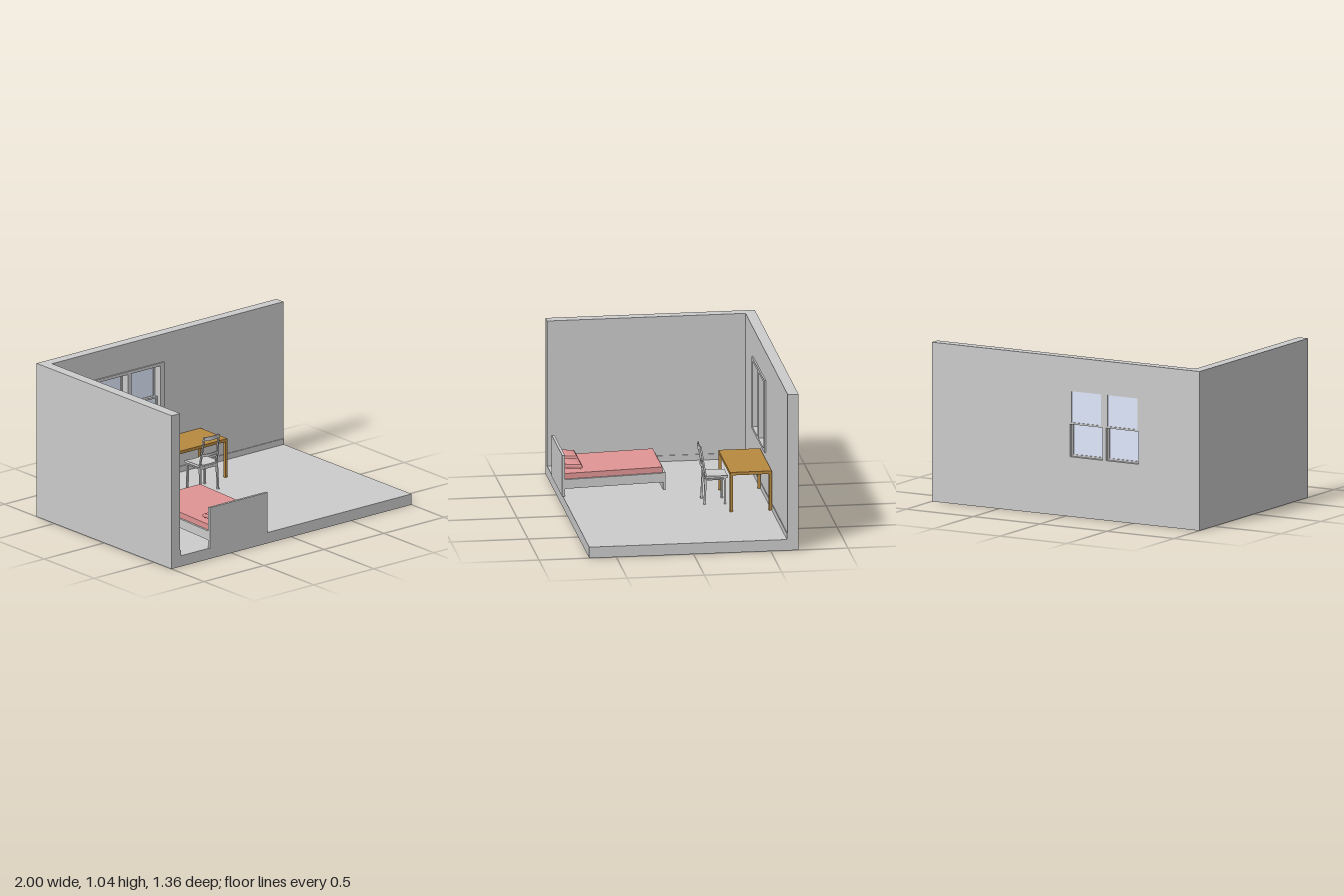
import * as THREE from 'three';

const mat = (color) => new THREE.MeshStandardMaterial({ color });
const GREY = mat(0xcccccc), PINK = mat(0xe09494), WOOD = mat(0xb8893f), GLASS = mat(0xdfe7fb);

function add(parent, name, geometry, material = GREY) {
  const mesh = new THREE.Mesh(geometry, material);
  mesh.name = name;
  parent.add(mesh);
  return mesh;
}

// Box given by its extents on each axis
function box(parent, name, [x0, x1], [y0, y1], [z0, z1], material) {
  const mesh = add(parent, name, new THREE.BoxGeometry(x1 - x0, y1 - y0, z1 - z0), material);
  mesh.position.set((x0 + x1) / 2, (y0 + y1) / 2, (z0 + z1) / 2);
  return mesh;
}

// Square bar between two points
function bar(parent, name, a, b, w, d) {
  const p = new THREE.Vector3(...a), q = new THREE.Vector3(...b);
  const mesh = add(parent, name, new THREE.BoxGeometry(w, p.distanceTo(q), d));
  mesh.position.copy(p).lerp(q, 0.5);
  mesh.quaternion.setFromUnitVectors(new THREE.Vector3(0, 1, 0), q.sub(p).normalize());
  return mesh;
}

function rect(target, x0, x1, y0, y1) {
  target.moveTo(x0, y0);
  target.lineTo(x1, y0);
  target.lineTo(x1, y1);
  target.lineTo(x0, y1);
  target.closePath();
  return target;
}

// Upright panel with rectangular openings
function panel(parent, name, outer, holes, z0, z1) {
  const shape = rect(new THREE.Shape(), ...outer);
  for (const h of holes) shape.holes.push(rect(new THREE.Path(), ...h));
  const mesh = add(parent, name, new THREE.ExtrudeGeometry(shape, { depth: z1 - z0, bevelEnabled: false }));
  mesh.position.z = z0;
  return mesh;
}

function group(parent, name) {
  const g = new THREE.Group();
  g.name = name;
  parent.add(g);
  return g;
}

const FLOOR = 0.073;
const OPENINGS = [[-0.545, -0.302, 0.39, 0.83], [-0.275, -0.032, 0.39, 0.83]];

function buildRoom(root) {
  const g = group(root, 'room');
  box(g, 'floor', [-1, 1], [0, FLOOR], [-0.68, 0.675]);
  box(g, 'sideWall', [-1, -0.928], [FLOOR, 1.038], [-0.68, 0.675]);
  panel(g, 'backWall', [-0.928, 1, FLOOR, 1.038], OPENINGS, -0.68, -0.61);
  box(g, 'backBaseboard', [-0.928, 1], [FLOOR, 0.112], [-0.61, -0.605]);
  box(g, 'sideBaseboard', [-0.928, -0.923], [FLOOR, 0.112], [-0.605, 0.675]);
}

function buildWindow(root) {
  const g = group(root, 'window');
  panel(g, 'windowTrim', [-0.58, 0, 0.37, 0.85], OPENINGS, -0.61, -0.6);
  for (const [x0, x1, y0, y1] of OPENINGS) {
    // Upper sash sits outside, lower sash inside
    for (const [name, a, b, z] of [['upperSash', 0.602, y1, -0.67], ['lowerSash', y0, 0.618, -0.645]]) {
      const pane = [x0 + 0.01, x1 - 0.01, a + 0.012, b - 0.012];
      panel(g, name, [x0, x1, a, b], [pane], z - 0.01, z + 0.012);
      box(g, name + 'Glass', [pane[0], pane[1]], [pane[2], pane[3]], [z - 0.004, z + 0.004], GLASS);
    }
  }
}

function buildDesk(root) {
  const g = group(root, 'desk');
  box(g, 'deskTop', [-0.23, 0.305], [0.315, 0.335], [-0.605, -0.335], WOOD);
  for (const x of [-0.23, 0.287])
    for (const z of [-0.605, -0.353])
      box(g, 'deskLeg', [x, x + 0.018], [FLOOR, 0.315], [z, z + 0.018], WOOD);
}

// Back slat, bowed backwards between the posts
function slat(parent, name, half, y, height, z) {
  const shape = new THREE.Shape();
  shape.moveTo(-half, 0);
  shape.quadraticCurveTo(0, -0.026, half, 0);
  shape.lineTo(half, 0.008);
  shape.quadraticCurveTo(0, -0.018, -half, 0.008);
  const geo = new THREE.ExtrudeGeometry(shape, { depth: height, bevelEnabled: false, curveSegments: 10 });
  const mesh = add(parent, name, geo.rotateX(-Math.PI / 2));
  mesh.position.set(0, y, z);
}

function buildChair(root) {
  const g = group(root, 'chair');
  g.position.x = 0.038;
  // Seat dips gently across its width
  const seat = new THREE.BoxGeometry(0.16, 0.014, 0.145, 12, 1, 1);
  const p = seat.attributes.position;
  for (let i = 0; i < p.count; i++) {
    const t = p.getX(i) / 0.08;
    if (p.getY(i) > 0) p.setY(i, 0.001 + 0.007 * t * t);
  }
  seat.computeVertexNormals();
  add(g, 'seat', seat).position.set(0, 0.254, -0.277);
  box(g, 'frontApron', [-0.07, 0.07], [0.228, 0.247], [-0.336, -0.328]);
  box(g, 'rearApron', [-0.07, 0.07], [0.228, 0.247], [-0.21, -0.202]);
  for (const s of [-1, 1]) {
    bar(g, 'frontLeg', [s * 0.072, FLOOR, -0.33], [s * 0.07, 0.248, -0.33], 0.013, 0.013);
    bar(g, 'rearLeg', [s * 0.073, FLOOR, -0.197], [s * 0.069, 0.262, -0.206], 0.012, 0.013);
    bar(g, 'backPost', [s * 0.069, 0.258, -0.206], [s * 0.06, 0.452, -0.174], 0.011, 0.011);
    bar(g, 'sideApron', [s * 0.07, 0.238, -0.33], [s * 0.07, 0.238, -0.206], 0.018, 0.008);
  }
  slat(g, 'middleSlat', 0.064, 0.317, 0.018, -0.191);
  slat(g, 'topSlat', 0.062, 0.43, 0.025, -0.172);
}

function buildBed(root) {
  const g = group(root, 'bed');
  box(g, 'headboard', [-0.685, -0.203], [FLOOR, 0.347], [0.662, 0.68]);
  box(g, 'footboard', [-0.685, -0.203], [0.09, 0.205], [0.01, 0.026]);
  // Frame and mattress slope slightly up to the foot
  const tilt = 0.03;
  for (const x of [-0.68, -0.222])
    box(g, 'sideRail', [x, x + 0.014], [0.131, 0.192], [0.022, 0.664]).rotation.x = tilt;
  box(g, 'bedBase', [-0.666, -0.222], [0.155, 0.18], [0.022, 0.664]).rotation.x = tilt;
  box(g, 'mattress', [-0.664, -0.225], [0.18, 0.228], [0.028, 0.664], PINK).rotation.x = tilt;

  // Cushion: widest at mid height, bulging in the middle
  for (const x of [-0.548, -0.345]) {
    const geo = new THREE.BoxGeometry(0.172, 0.042, 0.125, 8, 2, 8);
    const p = geo.attributes.position;
    for (let i = 0; i < p.count; i++) {
      const u = p.getX(i) / 0.086, v = p.getZ(i) / 0.0625, y = p.getY(i);
      if (Math.abs(y) < 0.001) continue;
      p.setXYZ(i, p.getX(i) * 0.85, y * (0.65 + 0.35 * (1 - u ** 4) * (1 - v ** 4)), p.getZ(i) * 0.8);
    }
    geo.computeVertexNormals();
    const pillow = add(g, 'pillow', geo, PINK);
    pillow.position.set(x, 0.25, 0.598);
    pillow.rotation.x = -0.07;
  }
}

export function createModel() {
  const root = new THREE.Group();
  root.name = 'bedroom';
  buildRoom(root);
  buildWindow(root);
  buildDesk(root);
  buildChair(root);
  buildBed(root);
  return root;
}
